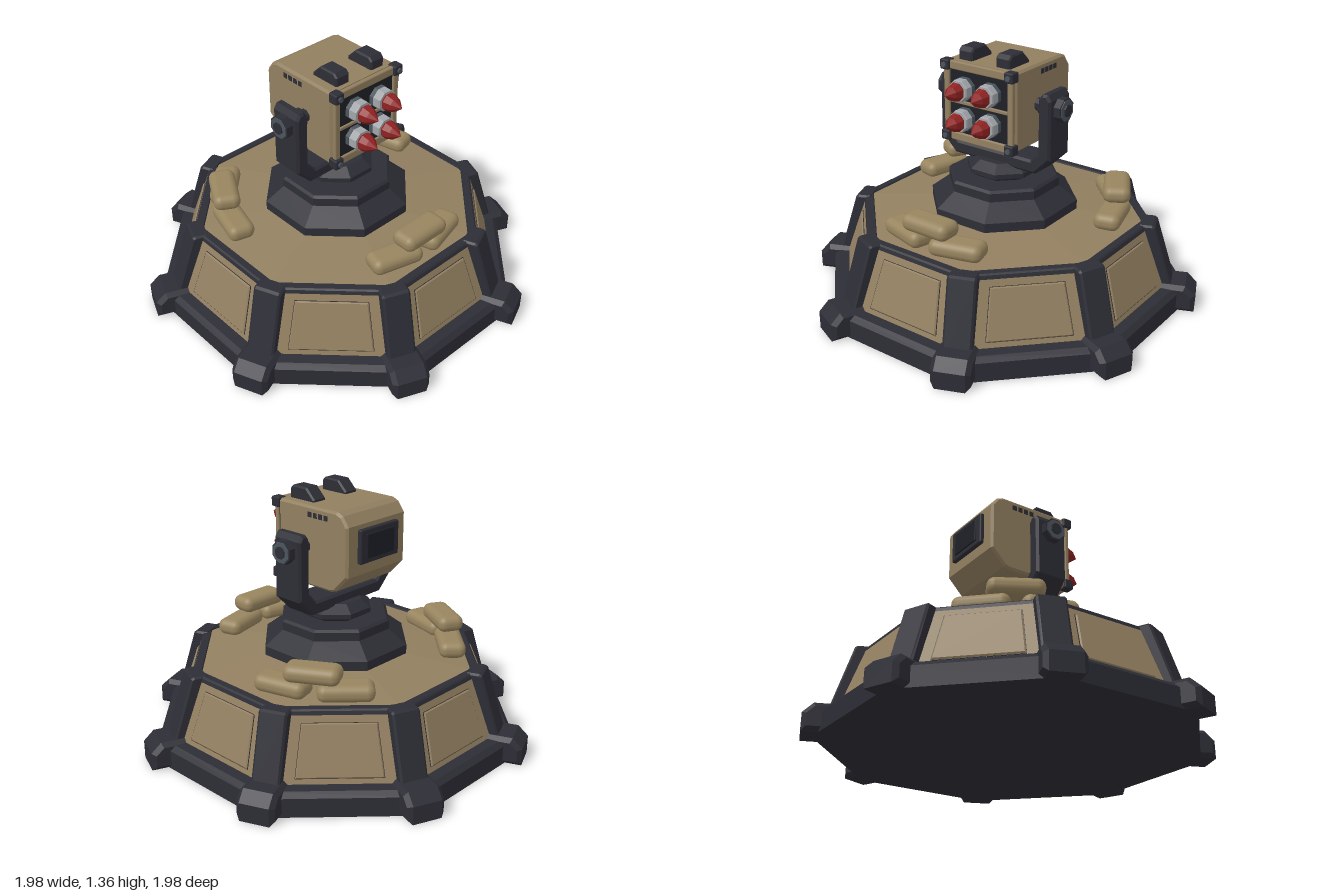
import * as THREE from 'three';
import { RoundedBoxGeometry } from 'three/addons/geometries/RoundedBoxGeometry.js';

const mat = (name, color) => {
  const m = new THREE.MeshStandardMaterial({ color });
  m.name = name;
  return m;
};

export function createModel() {
  const tan = mat('tan armour', 0x927f60);
  const sand = mat('sandbag cloth', 0x98855f);
  const dark = mat('dark metal', 0x2d2d36);
  const black = mat('black recess', 0x1f2027);
  const steel = mat('blue steel', 0x4c555d);
  const silver = mat('silver collar', 0xa2a6aa);
  const red = mat('red warhead', 0x8f2222);

  const model = new THREE.Group();
  model.name = 'missileTurret';

  const add = (parent, name, geo, material, x = 0, y = 0, z = 0) => {
    const mesh = new THREE.Mesh(geo, material);
    mesh.name = name;
    mesh.position.set(x, y, z);
    parent.add(mesh);
    return mesh;
  };
  const group = (parent, name) => {
    const g = new THREE.Group();
    g.name = name;
    parent.add(g);
    return g;
  };
  const faceted = (geo) => {
    const g = geo.index ? geo.toNonIndexed() : geo;
    g.computeVertexNormals();
    return g;
  };
  // Octagonal turned solid; points are [distance to flat side, height]
  const octagon = (points) => faceted(new THREE.LatheGeometry(
    points.map(([r, y]) => new THREE.Vector2(r / Math.cos(Math.PI / 8), y)), 8, Math.PI / 8));
  // Outline extruded along z, centred, with chamfered edges kept inside the outline
  const slab = (points, width, bevel = 0.012) => {
    const shape = new THREE.Shape(points.map(([x, y]) => new THREE.Vector2(x, y)));
    const geo = new THREE.ExtrudeGeometry(shape, {
      depth: width - 2 * bevel, bevelEnabled: bevel > 0, bevelThickness: bevel,
      bevelSize: bevel, bevelOffset: -bevel, bevelSegments: 1,
    });
    return geo.translate(0, 0, -width / 2 + bevel);
  };
  // Side outline [z, y] extruded along x
  const sideSlab = (points, width, bevel) => slab(points, width, bevel).rotateY(-Math.PI / 2);
  const box = (w, h, d, r = 0.008) => new RoundedBoxGeometry(w, h, d, 1, r);

  // Octagonal bunker
  const base = group(model, 'base');
  add(base, 'skirt', octagon([[0, 0], [0.915, 0], [0.915, 0.1], [0.89, 0.125], [0.8, 0.13]].map(
    ([r, y]) => [Math.max(r, 0.0001), y])), dark);
  add(base, 'slopedWall', octagon([[0.845, 0.1], [0.732, 0.44]]), tan);
  add(base, 'topRim', octagon([[0.735, 0.43], [0.728, 0.455], [0.72, 0.462], [0.685, 0.462], [0.68, 0.45]]), dark);
  add(base, 'floor', octagon([[0.685, 0.454], [0.36, 0.492], [0.0001, 0.492]]), tan);

  const slope = Math.atan2(0.113, 0.34);
  const panelShape = [[-0.21, -0.13], [0.21, -0.13], [0.178, 0.13], [-0.178, 0.13]];
  for (let i = 0; i < 8; i++) {
    // Raised wall panel, with a thin shadow-gap plate behind
    const side = group(base, 'wallPanel');
    side.rotation.y = i * Math.PI / 4;
    const tilt = group(side, 'panelTilt');
    tilt.position.set(0, 0.278, 0.786);
    tilt.rotation.x = -slope;
    const gap = add(tilt, 'panelGap', slab(panelShape, 0.004, 0), dark, 0, 0, 0.001);
    gap.scale.set(1.012, 1.016, 1);
    add(tilt, 'panelPlate', slab(panelShape, 0.016, 0.006), tan, 0, 0, 0.002);

    // Corner buttress and its foot
    const corner = group(base, 'cornerButtress');
    corner.rotation.y = (i + 0.5) * Math.PI / 4;
    add(corner, 'pillar', slab([[0.72, 0.08], [0.935, 0.08], [0.815, 0.458], [0.8, 0.466], [0.735, 0.466]], 0.145, 0.01), dark);
    add(corner, 'foot', slab([[0.82, 0], [1.043, 0], [1.043, 0.095], [0.99, 0.146], [0.82, 0.146]], 0.195, 0.022), dark);
  }

  // Three sandbag piles
  [[0, 0.6, 0], [0.5, -0.33, 2 * Math.PI / 3], [-0.5, -0.33, -2 * Math.PI / 3]].forEach(([x, z, a]) => {
    const pile = group(model, 'sandbagPile');
    pile.position.set(x, 0, z);
    pile.rotation.y = a;
    const bag = () => new RoundedBoxGeometry(0.28, 0.088, 0.14, 3, 0.04);
    add(pile, 'topSandbag', bag(), sand, 0, 0.587, 0);
    for (const s of [-1, 1]) {
      add(pile, 'lowerSandbag', bag(), sand, s * 0.155, 0.502, -0.02).rotation.y = s * 0.26;
    }
  });

  // Turntable
  const mount = group(model, 'mount');
  add(mount, 'pedestal', octagon([[0.365, 0.47], [0.365, 0.54], [0.275, 0.615], [0.275, 0.66], [0.262, 0.672], [0.0001, 0.672]]), dark);
  add(mount, 'swivelRing', octagon([[0.14, 0.67], [0.18, 0.695], [0.18, 0.72], [0.13, 0.76], [0.0001, 0.76]]), dark);

  // U-shaped yoke
  const half = [[0.255, 0.74], [0.345, 0.83], [0.345, 1.14], [0.325, 1.17], [0.295, 1.17], [0.273, 1.14], [0.273, 0.86], [0.228, 0.81]];
  const mirrored = half.map(([x, y]) => [-x, y]).reverse();
  add(mount, 'yoke', slab([...half, ...mirrored], 0.18, 0.012), dark);
  for (const s of [-1, 1]) {
    const pivot = group(mount, 'pivot');
    pivot.position.set(s * 0.3, 1.083, 0);
    pivot.rotation.z = -s * Math.PI / 2;
    const disc = (r, h) => faceted(new THREE.CylinderGeometry(r, r, h, 8, 1, false, Math.PI / 8));
    add(pivot, 'axle', disc(0.035, 0.2), dark, 0, -0.02, 0);
    add(pivot, 'innerWasher', disc(0.05, 0.03), dark, 0, -0.045, 0);
    add(pivot, 'outerHub', disc(0.064, 0.04), dark, 0, 0.063, 0);
    add(pivot, 'hubFace', disc(0.056, 0.008), steel, 0, 0.083, 0);
    add(pivot, 'hubBolt', disc(0.032, 0.014), dark, 0, 0.088, 0);
  }

  // Launcher body
  const launcher = group(model, 'launcher');
  add(launcher, 'housing', sideSlab([[0.19, 0.875], [0.19, 1.29], [-0.21, 1.29], [-0.245, 1.275],
    [-0.282, 1.225], [-0.282, 0.97], [-0.2, 0.885], [-0.17, 0.875]], 0.43, 0.012), tan);
  add(launcher, 'frontSeam', box(0.41, 0.4, 0.02, 0.004), dark, 0, 1.083, 0.19);
  add(launcher, 'launchFace', box(0.36, 0.34, 0.012, 0.003), black, 0, 1.083, 0.2);
  for (const s of [-1, 1]) {
    add(launcher, 'frameColumn', box(0.035, 0.41, 0.025), tan, s * 0.196, 1.083, 0.205);
    add(launcher, 'frameBeam', box(0.42, 0.045, 0.025), tan, 0, 1.083 + s * 0.187, 0.205);
    // Top lugs
    add(launcher, 'topLug', sideSlab([[0.165, 1.28], [0.165, 1.335], [0.145, 1.355], [0.05, 1.355], [-0.005, 1.3], [-0.005, 1.28]],
      0.086, 0.008), dark, s * 0.115, 0, 0);
    // Side vents
    for (let i = 0; i < 4; i++) {
      add(launcher, 'sideVent', new THREE.BoxGeometry(0.008, 0.026, 0.024), dark, s * 0.214, 1.247, -0.032 - i * 0.036);
    }
    for (const t of [-1, 1]) {
      // Corner clamps with bolts
      const cx = s * 0.197, cy = 1.083 + t * 0.187;
      add(launcher, 'cornerClamp', box(0.054, 0.054, 0.055), dark, cx, cy, 0.206);
      add(launcher, 'clampBolt', faceted(new THREE.CylinderGeometry(0.014, 0.014, 0.01, 8).rotateX(Math.PI / 2)), steel, cx, cy, 0.236);
      // Missiles
      const missile = group(launcher, 'missile');
      missile.position.set(s * 0.08, 1.083 + t * 0.08, 0);
      missile.rotation.x = Math.PI / 2;
      add(missile, 'collar', octagon([[0.054, 0.19], [0.054, 0.265], [0.05, 0.272], [0.0001, 0.272]]), silver);
      add(missile, 'collarBand', octagon([[0.056, 0.19], [0.056, 0.228], [0.05, 0.228]]), steel);
      add(missile, 'warhead', octagon([[0.036, 0.27], [0.046, 0.285], [0.034, 0.325], [0.0001, 0.372]]), red);
    }
  }
  add(launcher, 'frameDivider', box(0.36, 0.018, 0.022, 0.004), tan, 0, 1.083, 0.205);

  // Rear hatch
  add(launcher, 'rearHatch', box(0.28, 0.175, 0.03), dark, 0, 1.115, -0.29);
  add(launcher, 'rearHatchPanel', box(0.2, 0.125, 0.014, 0.004), black, 0, 1.115, -0.305);
  return model;
}
